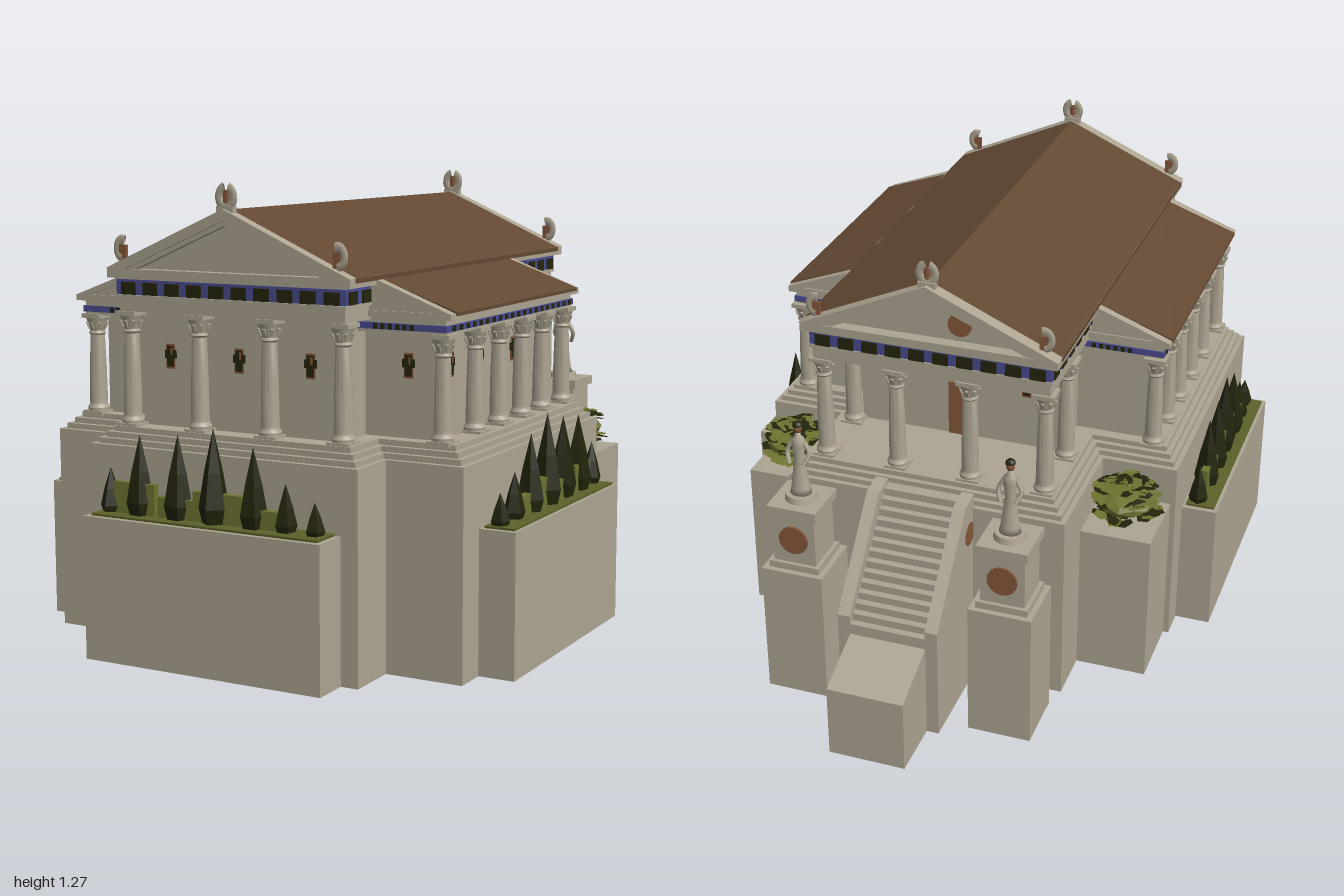
import * as THREE from 'three';
import { mergeGeometries, toCreasedNormals } from 'three/addons/utils/BufferGeometryUtils.js';

const mat = (name, color) => new THREE.MeshStandardMaterial({ name, color, side: THREE.DoubleSide });
const stone = mat('limestone', 0xaea592);
const tile = mat('roofTile', 0x634933);
const terracotta = mat('terracotta', 0x85583a);
const blue = mat('friezeBlue', 0x484c90);
const dark = mat('darkFoliage', 0x23250c);
const olive = mat('oliveFoliage', 0x6f7330);
const moss = mat('mossSoil', 0x5d6129);

let seed = 7;
const rand = () => (seed = (seed * 16807) % 2147483647) / 2147483647;

export function createModel() {
  const root = new THREE.Group();
  const add = (name, geo, material, x = 0, y = 0, z = 0) => {
    const m = new THREE.Mesh(geo, material);
    m.name = name;
    m.position.set(x, y, z);
    root.add(m);
    return m;
  };
  // box given by its extents
  const box = (name, m, x0, x1, y0, y1, z0, z1) =>
    add(name, new THREE.BoxGeometry(x1 - x0, y1 - y0, z1 - z0), m, (x0 + x1) / 2, (y0 + y1) / 2, (z0 + z1) / 2);
  // box with no underside
  const shell = (name, m, ...e) => {
    const b = box(name, m, ...e), i = Array.from(b.geometry.index.array);
    i.splice(18, 6);
    b.geometry.setIndex(i);
    b.geometry.clearGroups();
    return b;
  };
  // profile in (x, y) pushed along z
  const alongZ = (name, m, pts, z0, z1) => add(name, new THREE.ExtrudeGeometry(
    new THREE.Shape(pts.map(p => new THREE.Vector2(...p))), { depth: z1 - z0, bevelEnabled: false }), m, 0, 0, z0);
  // profile in (z, y) pushed along x
  const alongX = (name, m, pts, x0, x1) => {
    const g = new THREE.ExtrudeGeometry(new THREE.Shape(pts.map(([z, y]) => new THREE.Vector2(-z, y))),
      { depth: x1 - x0, bevelEnabled: false });
    return add(name, g.rotateY(Math.PI / 2), m, x0, 0, 0);
  };
  const flat = g => { const n = g.index ? g.toNonIndexed() : g; n.computeVertexNormals(); return n; };

  // cross-shaped plan: c = central half width, z0..z1; w = wing half width, a..b
  const plan = (c, z0, z1, w, a, b, d = 0) => {
    c -= d; w -= d; z0 += d; a += d; z1 -= d; b -= d;
    return [[-c, z1], [c, z1], [c, b], [w, b], [w, a], [c, a], [c, z0], [-c, z0],
      [-c, a], [-w, a], [-w, b], [-c, b]].map(([x, z]) => new THREE.Vector2(x, -z));
  };
  const ring = (name, outer, inner, y0, y1) => {
    const s = new THREE.Shape(outer);
    s.holes.push(new THREE.Path(inner));
    const g = new THREE.ExtrudeGeometry(s, { depth: y1 - y0, bevelEnabled: false });
    return add(name, g.rotateX(-Math.PI / 2), stone, 0, y0, 0);
  };
  const base = d => plan(0.41, -0.54, 0.895, 0.63, -0.16, 0.745, d);
  const cella = d => plan(0.305, -0.235, 0.79, 0.517, -0.08, 0.66, d);

  // hollow podium, steps and hall walls
  ring('podium', base(0), base(0.006), 0, 0.562);
  [0, 0.015, 0.03, 0.045].forEach((d, i) =>
    ring('step', base(d), cella(0.012), 0.55 + i * 0.015, 0.565 + i * 0.015));
  ring('hallWalls', cella(0), cella(0.012), 0.6, 0.925);

  // columns
  const columnGeo = h => {
    const p = [[0.03, 0.01], [0.031, 0.02], [0.025, 0.03], [0.025, 0.04], [0.023, h * 0.5], [0.02, h - 0.06],
      [0.024, h - 0.055], [0.021, h - 0.048], [0.025, h - 0.03], [0.032, h - 0.012]];
    const shaft = toCreasedNormals(new THREE.LatheGeometry(p.map(q => new THREE.Vector2(...q)), 14), 0.6);
    const parts = [shaft];
    for (const [w, y] of [[0.064, 0.006], [0.062, h - 0.006]])
      parts.push(new THREE.BoxGeometry(w, 0.012, w).toNonIndexed().translate(0, y, 0));
    // leaf tips around the capital
    for (let i = 0; i < 8; i++) parts.push(new THREE.BoxGeometry(0.008, 0.02, 0.006).toNonIndexed()
      .rotateX(0.4).translate(0, h - 0.034, 0.025).rotateY(i * Math.PI / 4));
    return mergeGeometries(parts);
  };
  const tall = columnGeo(0.315), low = columnGeo(0.285);
  for (const z of [0.815, -0.455]) for (const x of [-0.325, -0.108, 0.108, 0.325])
    add('mainColumn', tall, stone, x, 0.605, z);
  for (const s of [-1, 1]) {
    add('porchColumn', tall, stone, s * 0.325, 0.605, -0.255);
    for (const z of [0.68, 0.49, 0.34, 0.19, 0.05, -0.1]) add('wingColumn', low, stone, s * 0.54, 0.605, z);
  }

  // central entablature and frieze
  box('architrave', stone, -0.345, 0.345, 0.92, 1.01, -0.48, 0.84);
  box('architraveFillet', stone, -0.352, 0.352, 0.957, 0.965, -0.487, 0.847);
  box('cornice', stone, -0.37, 0.37, 1.01, 1.035, -0.5, 0.86);
  box('frieze', blue, -0.35, 0.35, 0.966, 1.006, -0.485, 0.845);
  for (let i = 0; i < 10; i++) for (const z of [0.846, -0.486])
    box('friezePanel', dark, -0.333 + i * 0.069, -0.288 + i * 0.069, 0.966, 0.999, z - 0.003, z + 0.003);
  for (const s of [-1, 1]) for (let i = 0; i < 19; i++)
    add('friezePanel', new THREE.BoxGeometry(0.006, 0.033, 0.042), dark, s * 0.351, 0.9825, -0.45 + i * 0.07);

  // central gable, roof and raking cornices
  alongZ('gable', stone, [[-0.36, 1.035], [0.36, 1.035], [0, 1.188]], -0.465, 0.83);
  for (const s of [-1, 1]) alongZ('mainRoof', tile,
    [[0, 1.185], [s * 0.372, 1.022], [s * 0.372, 1.034], [0, 1.198]], -0.466, 0.832);
  for (const [a, b] of [[0.83, 0.865], [-0.505, -0.465]]) {
    alongZ('rakingCornice', stone, [[-0.372, 1.035], [-0.31, 1.035], [0, 1.17], [0.31, 1.035], [0.372, 1.035], [0, 1.2]], a, b);
    alongZ('rakingFillet', stone, [[-0.31, 1.035], [-0.28, 1.035], [0, 1.157], [0.28, 1.035], [0.31, 1.035], [0, 1.172]], a + 0.008, b - 0.008);
  }

  // wings
  for (const s of [-1, 1]) {
    const bx = (name, m, x0, x1, ...r) => s > 0 ? box(name, m, x0, x1, ...r) : box(name, m, -x1, -x0, ...r);
    bx('wingArchitrave', stone, 0.3, 0.56, 0.888, 0.93, -0.115, 0.705);
    bx('wingFrieze', blue, 0.3, 0.565, 0.896, 0.913, -0.12, 0.71);
    bx('wingCornice', stone, 0.34, 0.58, 0.928, 0.945, -0.125, 0.72);
    for (let i = 0; i < 20; i++)
      bx('wingFriezePanel', dark, 0.562, 0.567, 0.897, 0.911, -0.1 + i * 0.04, -0.082 + i * 0.04);
    for (let i = 0; i < 6; i++) for (const z of [0.71, -0.12])
      bx('wingFriezePanel', dark, 0.355 + i * 0.021, 0.367 + i * 0.021, 0.897, 0.911, z - 0.002, z + 0.002);
    alongZ('wingGable', stone, [[s * 0.34, 0.945], [s * 0.575, 0.945], [s * 0.34, 1.022]], -0.12, 0.715);
    alongZ('wingRoof', tile, [[s * 0.345, 1.022], [s * 0.585, 0.938], [s * 0.585, 0.947], [s * 0.345, 1.032]], -0.1, 0.69);
    for (const [a, b] of [[0.69, 0.72], [-0.125, -0.1]])
      alongZ('wingRakingCornice', stone, [[s * 0.345, 1.012], [s * 0.54, 0.943], [s * 0.582, 0.943], [s * 0.345, 1.033]], a, b);
  }

  // small latticed windows
  const windowAt = (x, z, ry) => {
    const g = new THREE.Group();
    g.name = 'window';
    const plate = (w, h, d, m, px = 0, py = 0) => {
      const p = new THREE.Mesh(new THREE.BoxGeometry(w, h, d), m);
      p.position.set(px, py, 0);
      g.add(p);
    };
    plate(0.027, 0.066, 0.004, terracotta);
    plate(0.021, 0.056, 0.006, dark);
    plate(0.036, 0.022, 0.005, dark, 0, 0.006);
    plate(0.006, 0.02, 0.008, terracotta, 0.004, 0.014);
    g.position.set(x, 0.8, z);
    g.rotation.y = ry;
    root.add(g);
  };
  for (const x of [-0.216, 0, 0.216]) windowAt(x, 0.791, 0);
  for (const s of [-1, 1]) {
    windowAt(s * 0.432, 0.661, 0);
    for (const z of [0.59, 0.41, 0.2, 0.02]) windowAt(s * 0.518, z, Math.PI / 2);
    windowAt(s * 0.306, -0.145, Math.PI / 2);
    windowAt(s * 0.2, -0.236, Math.PI);
  }

  // porch door and pediment shield
  box('door', terracotta, -0.035, 0.035, 0.61, 0.78, -0.24, -0.233);
  box('doorLintel', stone, -0.05, 0.05, 0.78, 0.8, -0.243, -0.233);
  const disc = r => new THREE.CylinderGeometry(r, r, 0.008, 16).rotateX(Math.PI / 2);
  add('pedimentShield', disc(0.034), terracotta, -0.085, 1.085, -0.468);

  // roof ornaments
  for (const z of [0.845, -0.483]) {
    const crest = new THREE.TorusGeometry(0.022, 0.012, 6, 16, Math.PI * 1.8).rotateZ(Math.PI * 0.6).scale(1, 1.15, 0.5);
    add('ridgeOrnament', crest, stone, 0, 1.23, z);
    add('ridgeOrnamentCore', new THREE.CylinderGeometry(0.008, 0.011, 0.035, 8).scale(1, 1, 0.4), terracotta, 0, 1.23, z);
    box('ridgeOrnamentFoot', stone, -0.025, 0.025, 1.19, 1.207, z - 0.01, z + 0.01);
    for (const s of [-1, 1]) {
      // crescent with its tip curling back towards the ridge
      const horn = new THREE.TorusGeometry(0.019, 0.011, 6, 12, Math.PI * 1.1).rotateZ(s > 0 ? -Math.PI / 2 : Math.PI * 0.4).scale(1, 1.25, 0.5);
      add('cornerOrnament', horn, stone, s * 0.327, 1.088, z);
      add('cornerOrnamentCore', new THREE.BoxGeometry(0.024, 0.04, 0.008), terracotta, s * 0.326, 1.078, z);
    }
  }

  // staircase with sloping side walls and entry ramp
  const n = 14;
  for (let i = 0; i < n; i++) {
    const z = -0.54 - i * 0.29 / n;
    box('stair', stone, -0.112, 0.112, 0.26, 0.59 - i * 0.3 / n, z - 0.29 / n, z);
  }
  alongX('entryRamp', stone, [[-0.82, 0], [-1, 0], [-1, 0.213], [-0.82, 0.283]], -0.11, 0.11);
  for (const s of [-1, 1]) {
    alongX('stairWall', stone, [[-0.53, 0], [-0.83, 0], [-0.83, 0.335], [-0.6, 0.595], [-0.53, 0.605]], s * 0.127 - 0.018, s * 0.127 + 0.018);
    add('stairMedallion', disc(0.034).rotateY(Math.PI / 2), terracotta, s * 0.143, 0.498, -0.568);
  }

  // pedestals with statues
  const gown = [[0, 0], [0.032, 0], [0.027, 0.02], [0.02, 0.07], [0.014, 0.115], [0.02, 0.15], [0.018, 0.172], [0.008, 0.182], [0.007, 0.195], [0, 0.195]];
  for (const s of [-1, 1]) {
    const x = s * 0.303, z = -0.688;
    const block = (name, r, y0, y1) => shell(name, stone, x - r, x + r, y0, y1, z - r, z + r);
    block('pedestalBase', 0.09, 0, 0.4);
    block('pedestalFoot', 0.074, 0.4, 0.42);
    block('pedestal', 0.063, 0.41, 0.575);
    block('pedestalCap', 0.073, 0.57, 0.597);
    add('medallion', disc(0.043), terracotta, x, 0.495, z - 0.065);
    add('statueFoot', new THREE.CylinderGeometry(0.042, 0.046, 0.018, 20), stone, x, 0.605, z);
    add('statueBody', new THREE.LatheGeometry(gown.map(p => new THREE.Vector2(...p)), 12).scale(1, 1, 0.85), stone, x, 0.612, z);
    add('statueHead', new THREE.SphereGeometry(0.012, 10, 8).scale(1, 1.25, 1), terracotta, x, 0.815, z);
    add('statueHair', new THREE.SphereGeometry(0.0145, 8, 6, 0, Math.PI * 2, 0, 1.5), dark, x, 0.822, z);
    for (const a of [-1, 1]) {
      const path = new THREE.CatmullRomCurve3([[a * 0.016, 0.165, 0], [a * 0.032, 0.13, -0.004], [a * 0.02, 0.1, -0.02]].map(p => new THREE.Vector3(...p)));
      add('statueArm', new THREE.TubeGeometry(path, 6, 0.0065, 6), stone, x, 0.612, z);
    }
  }

  // long planters: a trough, low hedge and a row of five-sided cypresses
  const cypress = (x, z, top) => {
    const h = top - 0.39, r = 0.018 + h * 0.092;
    const p = [[r * 0.75, 0], [r, h * 0.18], [r * 0.62, h * 0.55], [0, h]].map(q => new THREE.Vector2(...q));
    add('cypress', flat(new THREE.LatheGeometry(p, 5)).rotateY(rand() * 6), dark, x, 0.39, z);
  };
  const tops = [0.515, 0.61, 0.62, 0.645, 0.605, 0.52, 0.48];
  shell('frontPlanter', stone, -0.36, 0.36, 0, 0.39, 0.885, 1);
  box('frontSoil', moss, -0.345, 0.345, 0.385, 0.396, 0.897, 0.985);
  [-0.315, -0.22, -0.1, 0.01, 0.13, 0.225, 0.31].forEach((x, i) => cypress(x, 0.935, tops[i]));
  [[-0.3, -0.17, 0.48], [-0.16, -0.05, 0.45], [-0.05, 0.1, 0.475], [0.1, 0.235, 0.445]].forEach(([a, b, y]) =>
    box('frontHedge', olive, a, b, 0.39, y, 0.925, 0.945));
  for (const s of [-1, 1]) {
    const e = [s * 0.68 - 0.052, s * 0.68 + 0.052];
    shell('sidePlanter', stone, ...e, 0, 0.39, -0.07, 0.65);
    box('sideSoil', moss, e[0] + 0.01, e[1] - 0.01, 0.385, 0.396, -0.055, 0.635);
    [-0.025, 0.08, 0.19, 0.3, 0.41, 0.515, 0.605].forEach((z, i) => cypress(s * 0.668, z, tops[i]));
    [[0.02, 0.13, 0.47], [0.13, 0.25, 0.45], [0.27, 0.4, 0.475], [0.4, 0.52, 0.45]].forEach(([a, b, y]) =>
      box('sideHedge', olive, s * 0.672 - 0.01, s * 0.672 + 0.01, 0.39, y, a, b));

    // corner planters with ragged, layered bushes
    shell('cornerPlanter', stone, s * 0.512 - 0.102, s * 0.512 + 0.102, 0, 0.45, -0.383, -0.16);
    add('bush', flat(new THREE.IcosahedronGeometry(1, 1)).scale(0.085, 0.032, 0.09), olive, s * 0.512, 0.512, -0.27);
    const leaves = [[], []];
    for (let i = 0; i < 100; i++) {
      const a = rand() * 6.283, t = Math.sqrt(rand()), y = 0.512 + 0.05 * Math.sqrt(1.1 - t * t) * (rand() < 0.65 ? 1 : -1);
      const g = new THREE.CircleGeometry(0.02 + rand() * 0.012, 5).scale(1, 0.7, 1);
      g.rotateX(-Math.PI / 2 + (rand() - 0.5) * 0.7).rotateY(a);
      leaves[i % 2].push(g.translate(Math.cos(a) * t * 0.09, y, Math.sin(a) * t * 0.098));
    }
    leaves.forEach((l, i) => add('bushLeaves', mergeGeometries(l), i ? olive : dark, s * 0.512, 0, -0.27));
  }
  return root;
}
